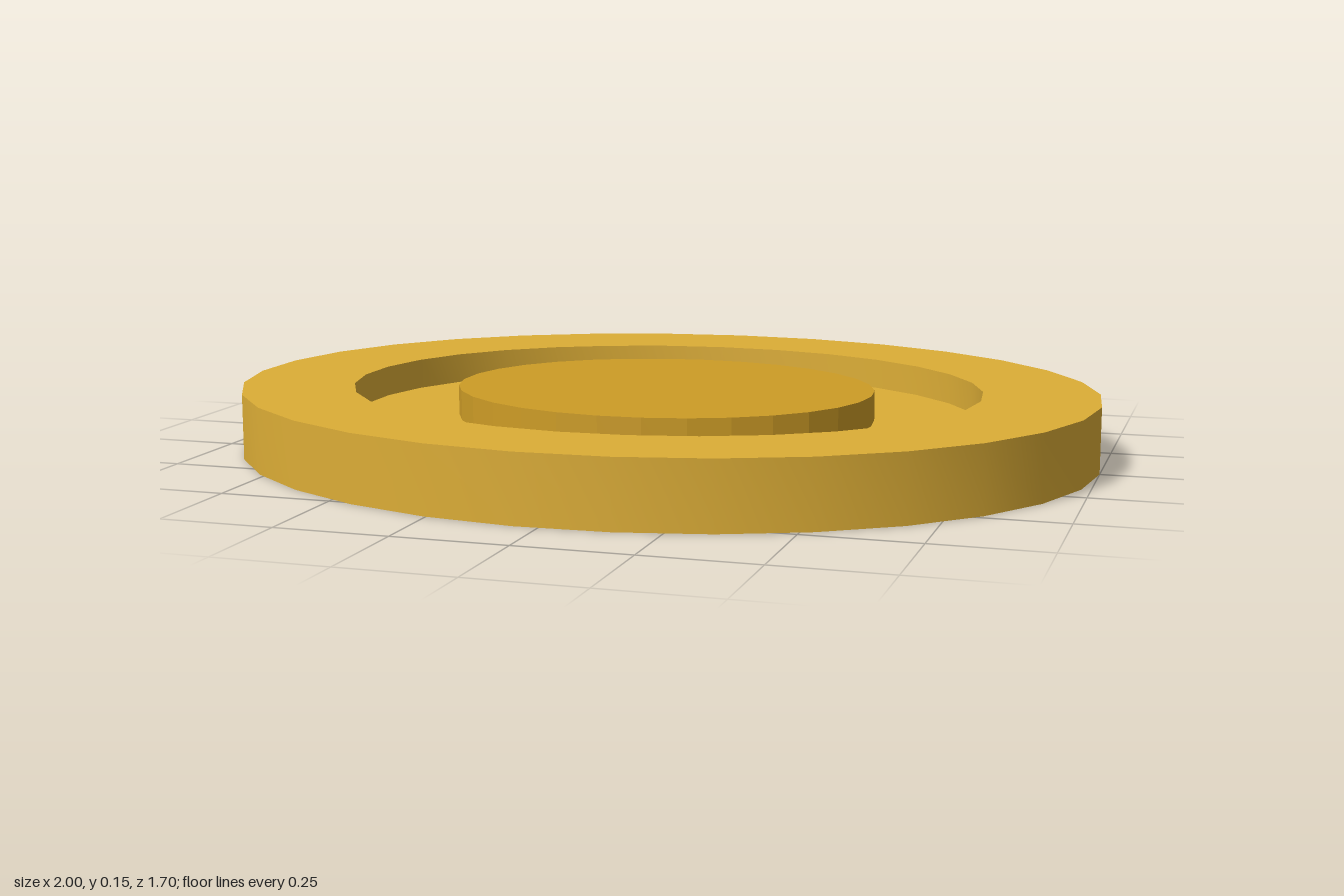
import * as THREE from 'three';
import { toCreasedNormals } from 'three/addons/utils/BufferGeometryUtils.js';

const SIDES = 31;
const HEIGHT = 0.15;
const DEPTH_RATIO = 0.848; // oval: depth relative to width

// Points of an oval polygon with one corner on +x
function ovalPoints(r) {
  return Array.from({ length: SIDES }, (_, i) => {
    const a = (i / SIDES) * Math.PI * 2;
    return new THREE.Vector2(r * Math.cos(a), r * DEPTH_RATIO * Math.sin(a));
  });
}

// Upright oval slab between two heights, optionally with an oval hole
function ovalSlab(name, material, radius, y0, y1, holeRadius = 0) {
  const shape = new THREE.Shape(ovalPoints(radius));
  if (holeRadius) shape.holes.push(new THREE.Path(ovalPoints(holeRadius)));
  const geometry = new THREE.ExtrudeGeometry(shape, { depth: y1 - y0, bevelEnabled: false });
  geometry.rotateX(-Math.PI / 2);
  geometry.translate(-0.0026, y0, 0); // centres the odd-sided outline on x = 0
  const mesh = new THREE.Mesh(toCreasedNormals(geometry, 0.5), material);
  mesh.name = name;
  return mesh;
}

export function createModel() {
  const group = new THREE.Group();
  group.name = 'ovalCoin';
  const gold = new THREE.MeshStandardMaterial({ color: 0xdcad36 });
  const darkGold = new THREE.MeshStandardMaterial({ color: 0xcd9c26, flatShading: true });
  const mid = HEIGHT / 2;

  // Raised outer rim
  group.add(ovalSlab('rim', gold, 1.0026, 0, HEIGHT, 0.737));
  // Thin recessed web, set back equally on both faces
  group.add(ovalSlab('recessedWeb', gold, 0.737, mid - 0.004, mid + 0.004, 0.48));
  // Raised centre disc
  group.add(ovalSlab('centreDisc', darkGold, 0.489, 0.002, HEIGHT - 0.002));

  return group;
}
